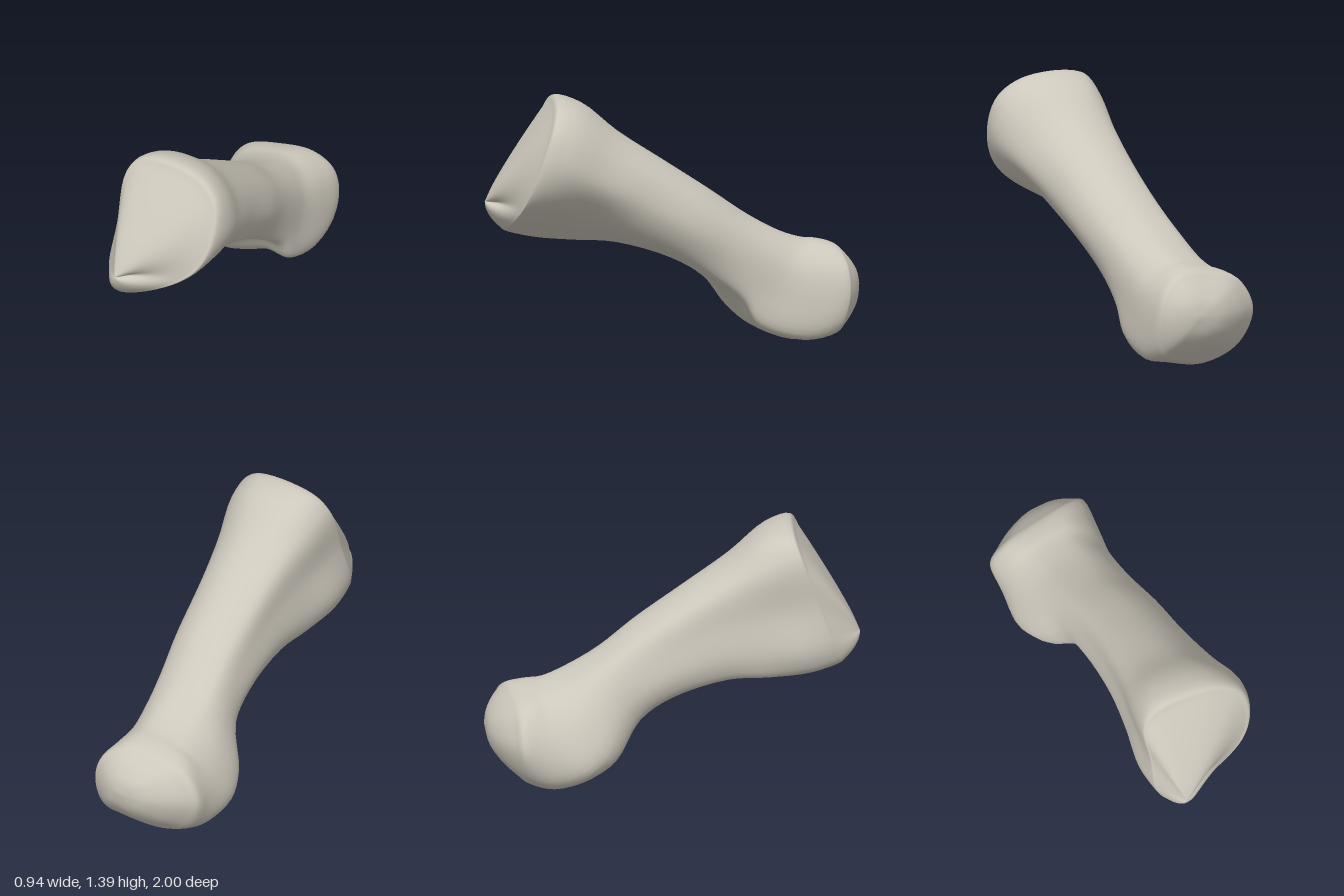
import * as THREE from 'three';
import { mergeVertices } from 'three/addons/utils/BufferGeometryUtils.js';

const AROUND = 60; // points around each section
const STEPS = 4;   // smoothing steps between sections

// Closed section on a slanted plane. Points are [x, height fraction], from the top
// clockwise as seen from the front; zTop..zBot slants the plane, skew turns it about y,
// bow pushes its middle height backwards.
function section(yTop, zTop, yBot, zBot, points, skew = 0, bow = 0) {
  const ring = points.map(([x, t]) => new THREE.Vector3(
    x,
    yBot + (yTop - yBot) * t,
    zBot + (zTop - zBot) * t + skew * (x + 0.15) - bow * 4 * t * (1 - t)
  ));
  return new THREE.CatmullRomCurve3(ring, true).getPoints(AROUND).slice(0, AROUND);
}

// Shrinks a rim towards an apex; power(p) of 1 gives a cone, 2 a dome, below 1 a hollow
function capRing(rim, apex, s, power) {
  return rim.map(p => new THREE.Vector3(
    apex.x + (p.x - apex.x) * s,
    apex.y + (p.y - apex.y) * s,
    apex.z + (p.z - apex.z) * Math.pow(s, power(p))
  ));
}

// Smooth skin through all rings, front to back
function loft(rings) {
  const rows = (rings.length - 1) * STEPS;
  const columns = [];
  for (let j = 0; j < AROUND; j++) {
    columns.push(new THREE.CatmullRomCurve3(rings.map(r => r[j])).getPoints(rows));
  }
  const positions = [], index = [];
  for (let i = 0; i <= rows; i++) {
    for (let j = 0; j < AROUND; j++) {
      positions.push(...columns[j][i].toArray());
      if (i === rows) continue;
      const k = (j + 1) % AROUND;
      const a = i * AROUND + j, b = i * AROUND + k;
      index.push(a, b, a + AROUND, b, b + AROUND, a + AROUND);
    }
  }
  const geometry = new THREE.BufferGeometry();
  geometry.setAttribute('position', new THREE.Float32BufferAttribute(positions, 3));
  geometry.setIndex(index);
  const merged = mergeVertices(geometry, 1e-4);
  merged.computeVertexNormals();
  return merged;
}

export function createModel() {
  const group = new THREE.Group();
  group.name = 'footBone';
  const bone = new THREE.MeshStandardMaterial({ color: 0xcdc8bc });
  bone.name = 'bone';

  // Wide base with a keel low on the right side
  const baseRim = section(1.36, 0.65, 0.64, 0.9, [
    [-0.05, 1], [0.27, 1], [0.42, 0.86], [0.455, 0.61], [0.39, 0.33],
    [0.19, 0.11], [-0.06, 0], [-0.125, 0.13], [-0.13, 0.48], [-0.135, 0.86]], -0.05);
  const base = section(1.325, 0.5, 0.595, 0.74, [
    [-0.03, 1], [0.26, 1], [0.42, 0.84], [0.465, 0.61], [0.38, 0.36],
    [0.16, 0.14], [-0.09, 0], [-0.165, 0.16], [-0.14, 0.5], [-0.14, 0.84]]);
  const neck = section(1.18, 0.3, 0.572, 0.52, [
    [0, 0.99], [0.18, 1], [0.33, 0.85], [0.395, 0.6], [0.3, 0.36],
    [0.1, 0.13], [-0.1, 0], [-0.155, 0.18], [-0.14, 0.55], [-0.12, 0.87]]);

  // Shaft
  const shaftFront = section(1.015, 0.05, 0.56, 0.3, [
    [-0.03, 0.98], [0.12, 1], [0.26, 0.85], [0.315, 0.55], [0.24, 0.26],
    [0.07, 0.09], [-0.1, 0], [-0.16, 0.22], [-0.155, 0.58], [-0.13, 0.86]]);
  const shaftMiddle = section(0.845, -0.2, 0.47, 0, [
    [-0.06, 0.98], [0.08, 1], [0.21, 0.82], [0.255, 0.5], [0.19, 0.18],
    [0.04, 0.05], [-0.13, 0], [-0.2, 0.23], [-0.2, 0.56], [-0.16, 0.86]]);
  const shaftBack = section(0.7, -0.4, 0.36, -0.17, [
    [-0.11, 0.98], [0.02, 1], [0.155, 0.83], [0.2, 0.5], [0.15, 0.15],
    [0, 0.06], [-0.17, 0], [-0.25, 0.23], [-0.26, 0.6], [-0.21, 0.87]]);

  // Head with two knuckles underneath and a hollow between them
  const headFront = section(0.6, -0.58, 0.17, -0.3, [
    [-0.14, 0.98], [0, 1], [0.125, 0.82], [0.165, 0.5], [0.14, 0.25],
    [0, 0.22], [-0.28, 0], [-0.38, 0.18], [-0.35, 0.62], [-0.25, 0.89]]);
  const headMiddle = section(0.555, -0.7, 0.075, -0.42, [
    [-0.17, 0.99], [-0.02, 1], [0.11, 0.8], [0.15, 0.45], [0.135, 0.13],
    [-0.02, 0.12], [-0.24, 0], [-0.425, 0.15], [-0.41, 0.58], [-0.31, 0.88]]);
  const headBack = section(0.545, -0.77, 0, -0.64, [
    [-0.2, 0.99], [-0.02, 1], [0.1, 0.8], [0.145, 0.45], [0.125, 0.11],
    [0, 0.06], [-0.22, 0], [-0.41, 0.16], [-0.45, 0.55], [-0.36, 0.88]], -0.15, 0.03);
  const headRim = section(0.525, -0.85, 0.025, -0.79, [
    [-0.2, 0.99], [-0.02, 0.99], [0.09, 0.8], [0.125, 0.5], [0.1, 0.15],
    [0, 0.06], [-0.22, 0.01], [-0.4, 0.19], [-0.47, 0.55], [-0.38, 0.88]], -0.25, 0.045);

  // Front face is a blunt cone, rounded below its peak and hollow to the left of it;
  // the rear joint is a dome
  const frontApex = new THREE.Vector3(0, 0.8, 1);
  const rearApex = new THREE.Vector3(-0.08, 0.31, -1);
  const frontPower = p => {
    const angle = Math.atan2(p.y - frontApex.y, p.x - frontApex.x);
    return 1.15 + 5 * Math.max(0, frontApex.y - p.y) - 0.55 * Math.exp(-((angle / 0.45) ** 2));
  };
  const frontCap = [0, 0.15, 0.35, 0.65, 0.92].map(s => capRing(baseRim, frontApex, s, frontPower));
  const rearCap = [0.88, 0.65, 0.35, 0].map(s => capRing(headRim, rearApex, s, () => 2));

  const mesh = new THREE.Mesh(loft([
    ...frontCap, baseRim, base, neck, shaftFront, shaftMiddle, shaftBack,
    headFront, headMiddle, headBack, headRim, ...rearCap]), bone);
  mesh.name = 'boneBody';
  group.add(mesh);
  return group;
}
